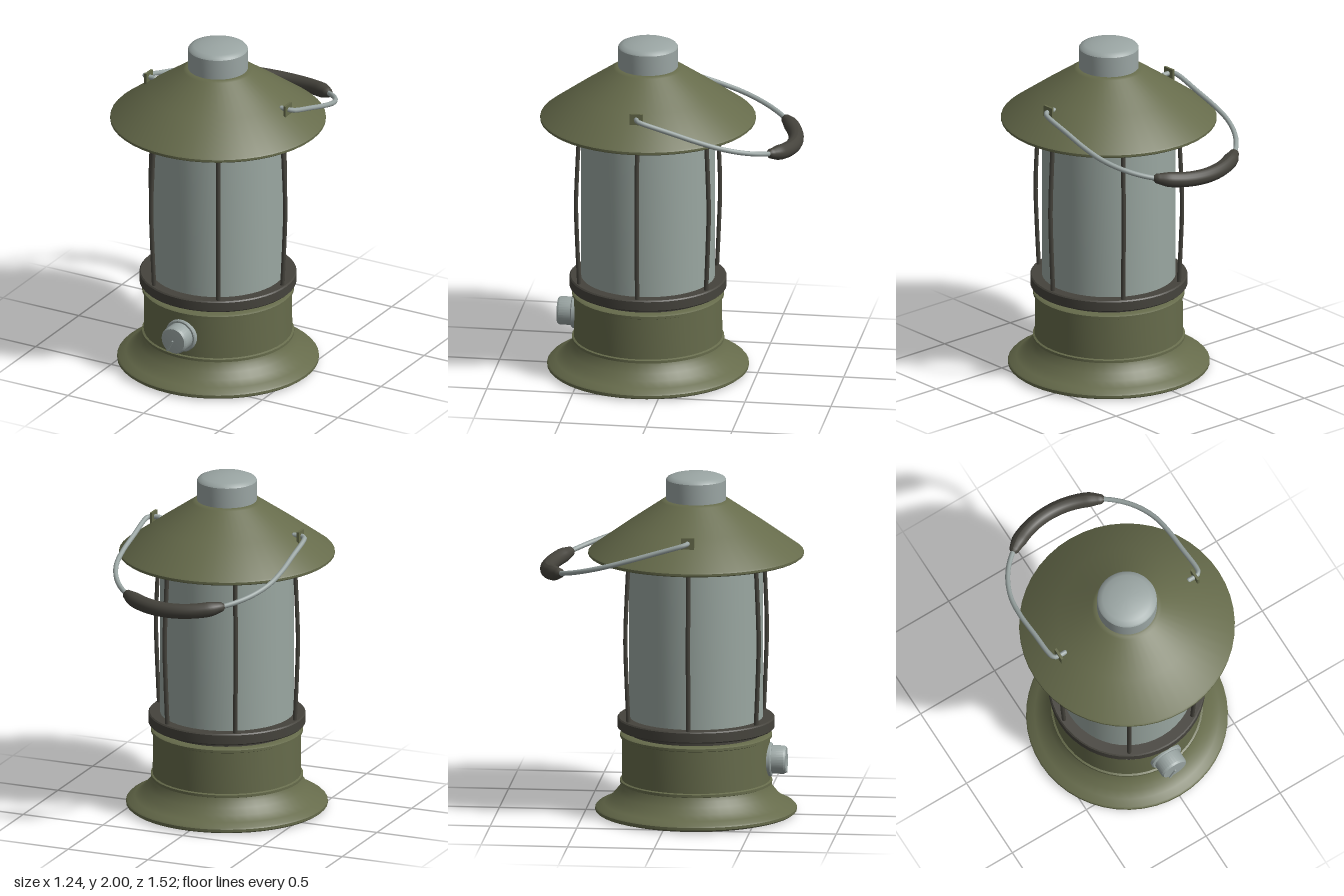
import * as THREE from 'three';
import { toCreasedNormals } from 'three/addons/utils/BufferGeometryUtils.js';

const material = (name, color) => Object.assign(new THREE.MeshStandardMaterial({ color }), { name });
const green = material('olive paint', 0x666b4b);
const dark = material('dark rubber', 0x45433c);
const metal = material('pale metal', 0x9aa5a3);
const glass = material('frosted glass', 0x9aa7a1);

function add(parent, name, geometry, mat, x = 0, y = 0, z = 0) {
  const mesh = new THREE.Mesh(geometry, mat);
  mesh.name = name;
  mesh.position.set(x, y, z);
  parent.add(mesh);
  return mesh;
}

// Turned part from [radius, height] pairs, running up the outside
function turned(points, segments = 48) {
  const profile = points.map(([r, y]) => new THREE.Vector2(r, y));
  return toCreasedNormals(new THREE.LatheGeometry(profile, segments), 0.6);
}

// Tube whose radius follows a rule along its length
function taperedTube(curve, segments, sides, radiusAt) {
  const geometry = new THREE.TubeGeometry(curve, segments, 1, sides);
  const pos = geometry.attributes.position;
  const v = new THREE.Vector3();
  for (let i = 0; i < pos.count; i++) {
    const t = Math.floor(i / (sides + 1)) / segments;
    const centre = curve.getPointAt(t);
    v.fromBufferAttribute(pos, i).sub(centre).multiplyScalar(radiusAt(t)).add(centre);
    pos.setXYZ(i, v.x, v.y, v.z);
  }
  geometry.computeVertexNormals();
  return geometry;
}

export function createModel() {
  const model = new THREE.Group();
  model.name = 'lantern';
  const body = new THREE.Group();
  body.name = 'body';
  body.position.z = 0.137;
  model.add(body);

  // Flared foot and fuel tank
  add(body, 'footPad', turned([[0, 0], [0.535, 0], [0.535, 0.015]]), dark);
  add(body, 'foot', turned([[0.53, 0.01], [0.57, 0.01], [0.58, 0.018], [0.58, 0.033], [0.572, 0.042],
    [0.53, 0.06], [0.49, 0.09], [0.46, 0.125], [0.437, 0.155], [0.428, 0.18]]), green);
  add(body, 'tank', turned([[0.425, 0.175], [0.438, 0.18], [0.438, 0.195], [0.427, 0.2], [0.425, 0.445],
    [0.437, 0.45], [0.437, 0.465], [0.425, 0.472], [0.38, 0.472]]), green);
  add(body, 'neck', turned([[0.385, 0.465], [0.385, 0.505]]), dark);
  add(body, 'lowerRing', turned([[0.38, 0.5], [0.445, 0.5], [0.452, 0.507], [0.452, 0.56],
    [0.445, 0.567], [0.38, 0.567]]), dark);

  // Globe and cage
  add(body, 'globe', turned([[0.385, 0.55], [0.385, 1.5]]), glass);
  const bar = new THREE.CatmullRomCurve3([[0.425, 0.55], [0.437, 0.8], [0.445, 1.05], [0.437, 1.28], [0.425, 1.51]]
    .map(([x, y]) => new THREE.Vector3(x, y, 0)));
  const barGeometry = new THREE.TubeGeometry(bar, 16, 0.013, 8);
  for (let i = 0; i < 6; i++) {
    add(body, 'cageBar', barGeometry, dark).rotation.y = i * Math.PI / 3;
  }
  add(body, 'upperRing', turned([[0.38, 1.483], [0.437, 1.483], [0.445, 1.49], [0.445, 1.525]]), dark);

  // Conical roof and chimney cap
  add(body, 'roof', turned([[0.38, 1.523], [0.612, 1.516], [0.62, 1.522], [0.62, 1.535], [0.612, 1.543],
    [0.4, 1.695], [0.2, 1.832], [0.185, 1.842], [0.16, 1.842]]), green);
  add(body, 'chimneyCap', turned([[0.172, 1.83], [0.172, 1.96], [0.165, 1.97], [0.14, 1.981], [0.1, 1.991],
    [0.05, 1.998], [0, 2]]), metal);

  // Control knob
  const knob = new THREE.Group();
  knob.name = 'knob';
  knob.position.set(0, 0.32, 0.41);
  knob.rotation.x = Math.PI / 2;
  body.add(knob);
  add(knob, 'knobFlange', turned([[0.098, 0], [0.098, 0.024], [0.092, 0.03], [0.07, 0.03]], 32), metal);
  add(knob, 'knobGrip', turned([[0.082, 0.025], [0.082, 0.1], [0.074, 0.112], [0, 0.114]], 32), metal);
  const pointer = add(knob, 'knobPointer', new THREE.BoxGeometry(0.012, 0.008, 0.075), metal, -0.018, 0.117, 0.032);
  pointer.rotation.y = -0.5;

  // Swinging handle, drawn flat and tilted about its pivots
  const handle = new THREE.Group();
  handle.name = 'handle';
  handle.position.set(0, 1.68, 0);
  handle.rotation.x = -0.293;
  body.add(handle);
  const stretch = 1 / Math.cos(0.293);
  const onArc = a => new THREE.Vector3(0.497 * Math.cos(a), 0, (-0.357 - 0.498 * Math.sin(a)) * stretch);
  const half = [[0.42, 0], [0.465, 0], [0.489, -0.01], [0.498, -0.04], [0.498, -0.2]]
    .map(([x, z]) => new THREE.Vector3(x, 0, z * stretch));
  const arc = Array.from({ length: 13 }, (_, i) => onArc(i * Math.PI / 12));
  const otherHalf = half.map(p => new THREE.Vector3(-p.x, 0, p.z)).reverse();
  const wire = new THREE.CatmullRomCurve3([...half, ...arc, ...otherHalf]);
  add(handle, 'handleWire', new THREE.TubeGeometry(wire, 120, 0.0145, 10), metal);
  const gripCurve = new THREE.CatmullRomCurve3(
    Array.from({ length: 9 }, (_, i) => onArc(0.895 + i * (Math.PI - 1.79) / 8)));
  add(handle, 'handleGrip', taperedTube(gripCurve, 40, 16, t => {
    const end = Math.min(t, 1 - t);
    return end < 0.001 ? 0.012 : 0.027 + 0.017 * THREE.MathUtils.smoothstep(end, 0, 0.15);
  }), dark);

  // Pivot lugs and wire ends
  for (const side of [1, -1]) {
    add(body, 'handleLug', new THREE.BoxGeometry(0.014, 0.11, 0.075), green, side * 0.46, 1.657, 0);
    add(body, 'wireEnd', new THREE.SphereGeometry(0.0145, 10, 8), metal, side * 0.42, 1.68, 0);
  }
  return model;
}
